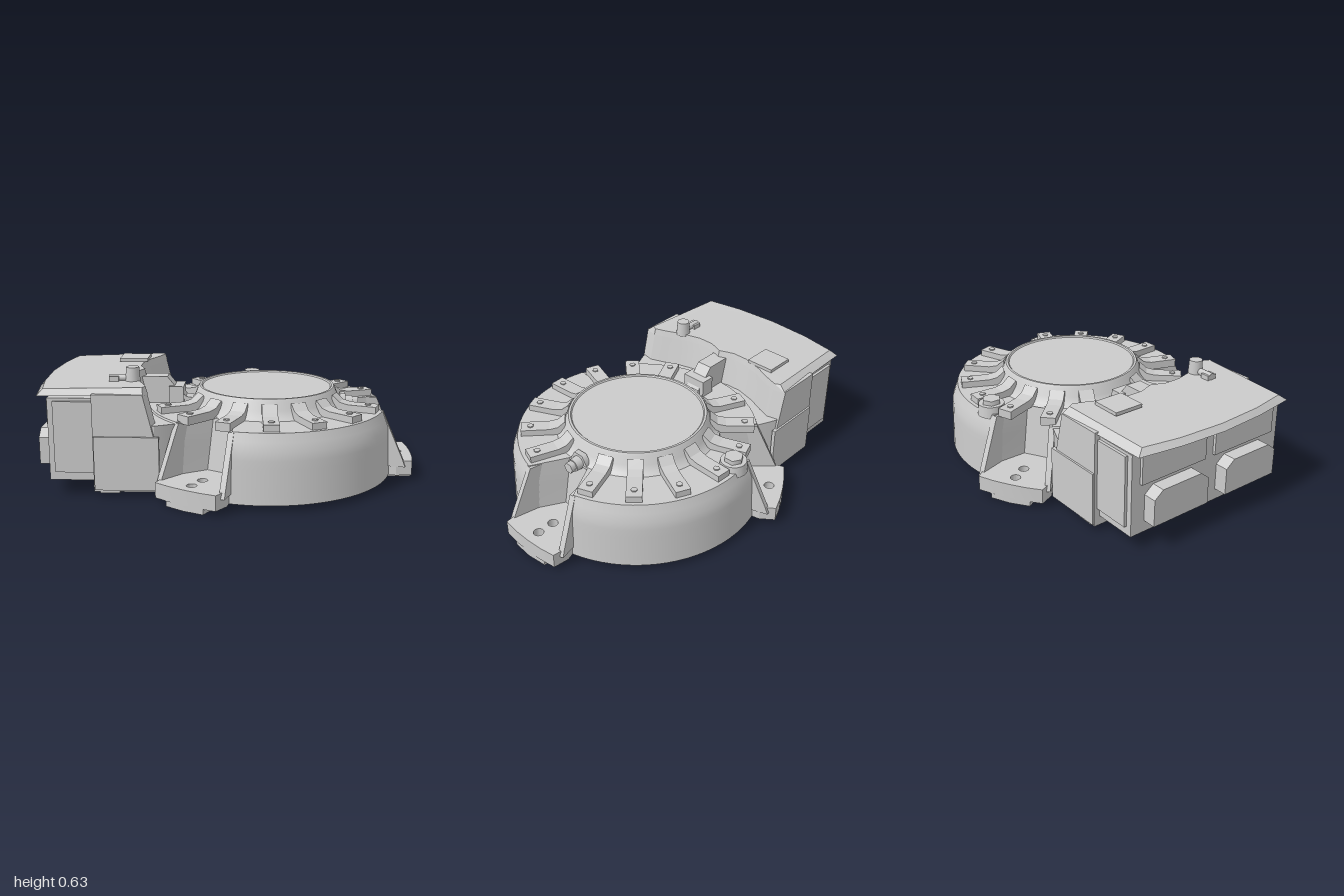
import * as THREE from 'three';
import { toCreasedNormals } from 'three/addons/utils/BufferGeometryUtils.js';

const CX = 0.2; // axis of the round casing
const grey = new THREE.MeshStandardMaterial({ color: 0xcccccc, side: THREE.DoubleSide });

function add(parent, name, geometry, x = 0, y = 0, z = 0) {
  const mesh = new THREE.Mesh(geometry, grey);
  mesh.name = name;
  mesh.position.set(x, y, z);
  parent.add(mesh);
  return mesh;
}

// Upright prism from a plan of [x, z] points; rule(v) may reshape it by height
function prism(points, y0, y1, { holes = [], steps = 1, rule } = {}) {
  const shape = new THREE.Shape(points.map(([x, z]) => new THREE.Vector2(x, -z)));
  for (const [x, z, r] of holes) {
    shape.holes.push(new THREE.Path().absarc(x, -z, r, 0, Math.PI * 2, true));
  }
  const geo = new THREE.ExtrudeGeometry(shape, { depth: y1 - y0, steps, bevelEnabled: false, curveSegments: 8 });
  geo.rotateX(-Math.PI / 2).translate(0, y0, 0);
  if (rule) {
    const p = geo.attributes.position, v = new THREE.Vector3();
    for (let i = 0; i < p.count; i++) {
      rule(v.fromBufferAttribute(p, i));
      p.setXYZ(i, v.x, v.y, v.z);
    }
  }
  return toCreasedNormals(geo, 0.4);
}

// Side profile in x, y extruded to a width centred on z
function slab(profile, width) {
  const shape = new THREE.Shape(profile.map(([x, y]) => new THREE.Vector2(x, y)));
  return new THREE.ExtrudeGeometry(shape, { depth: width, bevelEnabled: false }).translate(0, 0, -width / 2);
}

// Full plan outline from a half running from the back edge to the middle
const mirrored = (half) => [
  ...half.map(([x, z]) => [x, -z]),
  ...half.slice().reverse().filter(([, z]) => z !== 0),
];

const box = (w, h, d) => new THREE.BoxGeometry(w, h, d);
const cyl = (r0, r1, h, n = 20) => new THREE.CylinderGeometry(r0, r1, h, n);
const lerp = THREE.MathUtils.lerp;
const feetAngles = [0, 120, 240].map(THREE.MathUtils.degToRad);

function casing(parent) {
  // Round body with a tapering pocket above each foot
  const plan = [];
  const half = 0.262;
  for (const a of feetAngles) {
    const c = Math.cos(a), s = Math.sin(a);
    for (const [r, w] of [[0.43, -0.065], [0.43, 0.065]]) plan.push([r * c - w * s, r * s + w * c]);
    const n = 20, span = Math.PI * 2 / 3 - half * 2;
    for (let i = 0; i <= n; i++) {
      const t = a + half + span * i / n;
      plan.push([0.685 * Math.cos(t), 0.685 * Math.sin(t)]);
    }
  }
  add(parent, 'casing', prism(plan, 0.03, 0.385, {
    steps: 8,
    rule: (v) => {
      const outer = Math.hypot(v.x, v.z) > 0.6;
      const k = outer
        ? (v.y < 0.29 ? lerp(1, 0.985, (v.y - 0.03) / 0.26) : lerp(0.985, 0.935, (v.y - 0.29) / 0.095))
        : lerp(1.14, 1, (v.y - 0.03) / 0.355);
      v.x *= k;
      v.z *= k;
    },
  }));

  // Raised hub with a rimmed flat lid
  const profile = [[0.44, 0.38], [0.415, 0.395], [0.392, 0.43], [0.375, 0.475], [0.367, 0.487],
    [0.355, 0.487], [0.349, 0.48], [0, 0.48]];
  const hub = new THREE.LatheGeometry(profile.map(([r, y]) => new THREE.Vector2(r, y)), 48);
  add(parent, 'hub', toCreasedNormals(hub.toNonIndexed(), 0.6));

  // Radial ribs with bolts, none over the valve or the housing bridge
  const ribShape = [[0.37, 0.375], [0.62, 0.375], [0.62, 0.42], [0.47, 0.42], [0.425, 0.43], [0.385, 0.465]];
  for (const side of [1, -1]) {
    for (let i = 0; i < 7; i++) {
      const rib = new THREE.Group();
      rib.name = 'rib';
      rib.rotation.y = side * THREE.MathUtils.degToRad(20 + 22.5 * i);
      add(rib, 'ribBar', slab(ribShape, 0.08));
      add(rib, 'ribBolt', cyl(0.017, 0.017, 0.008, 6), 0.57, 0.422, 0);
      parent.add(rib);
    }
  }
  // Plug on the rim
  add(parent, 'rimPlugBoss', cyl(0.068, 0.075, 0.06), -0.09, 0.39, -0.585);
  add(parent, 'rimPlug', cyl(0.05, 0.05, 0.05, 6), -0.09, 0.42, -0.585);
}

function foot(parent, angle) {
  const g = new THREE.Group();
  g.name = 'foot';
  g.rotation.y = -angle;
  const plan = mirrored([[0.42, 0.07], [0.64, 0.17], [0.7, 0.19], [0.785, 0.18], [0.797, 0.09], [0.8, 0]]);
  const holes = [[0.63, 0, 0.027], [0.725, 0, 0.027]];
  add(g, 'footPlate', prism(plan, 0.03, 0.11, { holes }));
  const pad = [[0.59, -0.11], [0.79, -0.11], [0.8, 0], [0.79, 0.11], [0.59, 0.11]];
  add(g, 'footPad', prism(pad, 0, 0.03, { holes }));
  // Sloping gussets on both sides of the pocket
  for (const s of [1, -1]) {
    const gusset = add(g, 'gusset', slab([[0.52, 0.08], [0.765, 0.08], [0.75, 0.12], [0.635, 0.38], [0.52, 0.38]], 0.03), 0, 0, s * 0.03);
    gusset.rotation.y = -s * 0.21;
  }
  parent.add(g);
}

function housing(parent) {
  // Curved inner edge wraps the casing and leans away with height
  const edge = [[-0.36, 0.51], [-0.345, 0.44], [-0.37, 0.37], [-0.41, 0.28], [-0.44, 0.17], [-0.44, 0.08], [-0.41, 0]];
  const lean = (v) => {
    if (v.x > -0.6) v.x -= 0.06 * THREE.MathUtils.clamp((v.y - 0.31) / 0.25, 0, 1);
  };
  add(parent, 'housingBody', prism(mirrored([[-0.67, 0.51], ...edge]), 0.03, 0.535, { steps: 9, rule: lean }));

  // Lower part joining the casing
  const neck = mirrored([[-0.5, 0.5], [-0.36, 0.5], [-0.25, 0.45], [-0.2, 0.4], [-0.1, 0.25], [-0.1, 0]]);
  add(parent, 'housingNeck', prism(neck, 0.03, 0.375, {
    rule: (v) => { if (v.y < 0.2 && v.x > -0.3) v.x -= 0.04; },
  }));

  // Roof with chamfered sides and a bowed, overhanging end
  const roof = mirrored([[-1, 0], [-0.985, 0.25], [-0.95, 0.485], ...edge]
    .filter(([x, z]) => !(x === -1 && z === 0)));
  roof.push([-1, 0]);
  add(parent, 'roof', prism(roof, 0.52, 0.565, {
    rule: (v) => {
      lean(v);
      const top = v.y > 0.54;
      if (top && Math.abs(v.z) > 0.47) v.z *= 0.92;
      if (v.x < -0.9) {
        if (top) { v.x += 0.025; v.y -= 0.015; }
      } else if (!top) v.y += 0.01;
    },
  }));

  // Electrical box and its connectors on the end
  add(parent, 'endBox', box(0.24, 0.43, 0.96), -0.78, 0.295, 0);
  add(parent, 'endBoxCover', box(0.2, 0.37, 0.99), -0.77, 0.31, 0);
  for (const s of [1, -1]) {
    const plug = new THREE.Group();
    plug.name = 'connector';
    plug.position.z = s * 0.23;
    const face = mirrored([[0.14, 0.17], [0.28, 0.17], [0.32, 0.12]]).map(([y, z]) => [y, z]);
    add(plug, 'connectorBody', prism(face, 0, 0.08).rotateZ(Math.PI / 2), -0.89, 0, 0);
    add(plug, 'connectorBase', box(0.03, 0.15, 0.4), -0.9, 0.42, 0);
    parent.add(plug);
  }
  // Seam flanges and small tabs below
  for (const s of [1, -1]) {
    add(parent, 'sideFlange', box(0.33, 0.28, 0.02), -0.5, 0.18, s * 0.51);
    add(parent, 'bottomTab', box(0.1, 0.04, 0.05), -0.59, 0.04, s * 0.48);
  }

  // Bridge between the housing and the hub
  const bridge = slab([[-0.5, 0.37], [-0.5, 0.53], [-0.34, 0.53], [-0.3, 0.48], [-0.26, 0.45], [-0.24, 0.42], [-0.17, 0.41], [-0.17, 0.37]], 0.09);
  add(parent, 'bridge', bridge);
  add(parent, 'bridgeBlock', box(0.08, 0.1, 0.14), -0.29, 0.43, 0);

  // Roof fittings
  add(parent, 'namePlate', box(0.16, 0.018, 0.16), -0.56, 0.573, -0.28);
  add(parent, 'post', cyl(0.034, 0.04, 0.08), -0.49, 0.595, 0.295);
  const stub = add(parent, 'stub', cyl(0.018, 0.018, 0.12, 12), -0.55, 0.578, 0.295);
  stub.rotation.z = Math.PI / 2;
  add(parent, 'stubBlock', box(0.05, 0.025, 0.055), -0.585, 0.575, 0.295);
}

function valve(parent) {
  const g = new THREE.Group();
  g.name = 'valve';
  g.position.set(0.55, 0.39, 0);
  g.rotation.z = -Math.PI / 2;
  add(g, 'valveStem', cyl(0.035, 0.045, 0.16, 12), 0, 0.04, 0);
  add(g, 'valveNut', cyl(0.058, 0.058, 0.03, 6), 0, 0.065, 0);
  add(g, 'valveTip', cyl(0.03, 0.03, 0.05, 6), 0, 0.125, 0);
  parent.add(g);
}

export function createModel() {
  const model = new THREE.Group();
  model.name = 'gearboxHousing';
  const round = new THREE.Group();
  round.name = 'roundCasing';
  round.position.x = CX;
  casing(round);
  feetAngles.forEach((a) => foot(round, a));
  model.add(round);
  housing(model);
  valve(model);
  return model;
}
